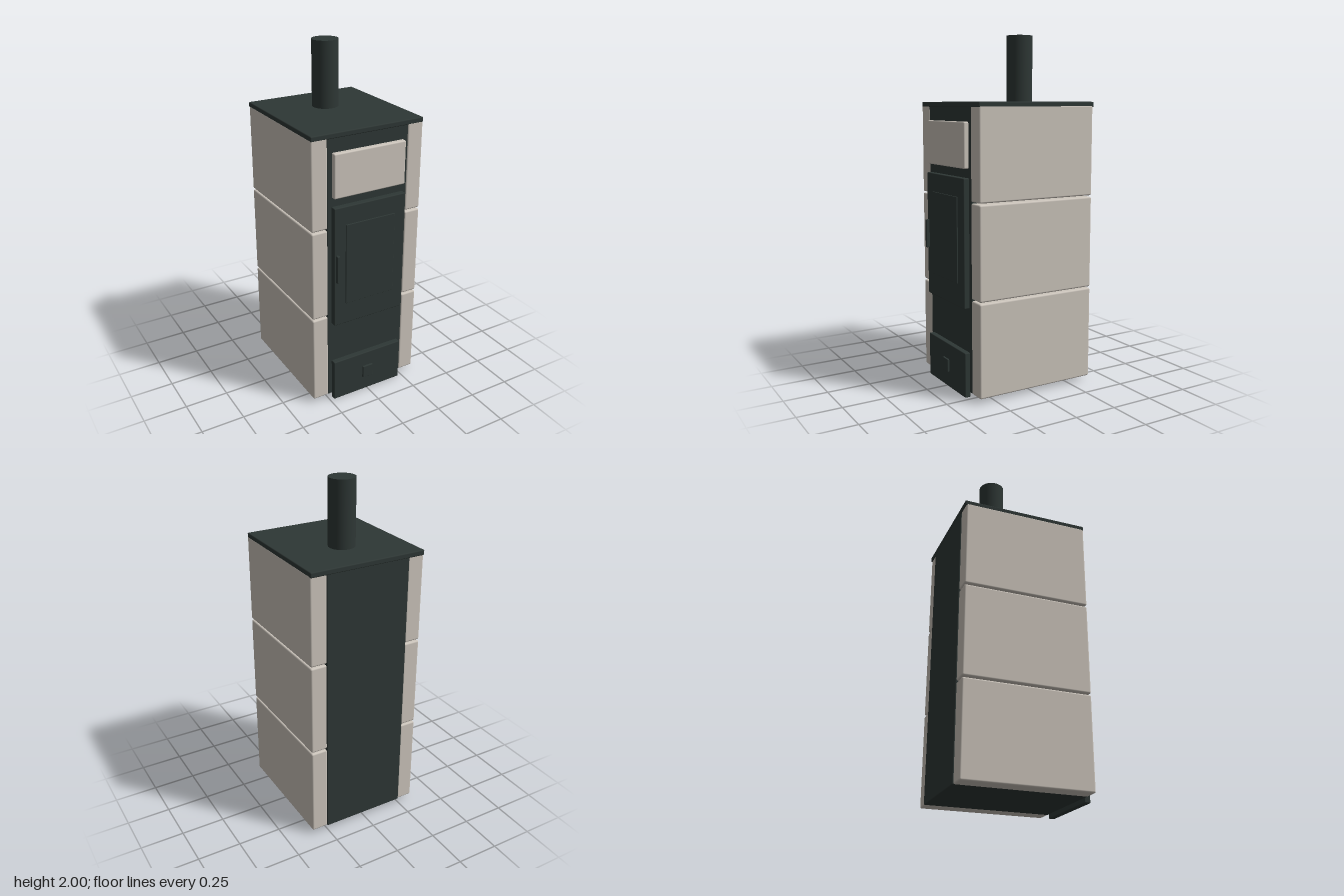
import * as THREE from 'three';
import { RoundedBoxGeometry } from 'three/addons/geometries/RoundedBoxGeometry.js';

export function createModel() {
  const stove = new THREE.Group();
  stove.name = 'stove';
  const iron = new THREE.MeshStandardMaterial({ name: 'dark iron', color: 0x2e3735 });
  const stone = new THREE.MeshStandardMaterial({ name: 'pale stone', color: 0xccc5bc });

  // Rounded block given by its extents along each axis
  const block = (name, material, [x0, x1], [y0, y1], [z0, z1], radius) => {
    const geometry = new RoundedBoxGeometry(x1 - x0, y1 - y0, z1 - z0, 3, radius);
    const mesh = new THREE.Mesh(geometry, material);
    mesh.position.set((x0 + x1) / 2, (y0 + y1) / 2, (z0 + z1) / 2);
    mesh.name = name;
    stove.add(mesh);
  };

  // Firebox and top plate
  block('firebox', iron, [-0.25, 0.25], [0.026, 1.61], [-0.393, 0.342], 0.004);
  block('topPlate', iron, [-0.3445, 0.3445], [1.595, 1.625], [-0.395, 0.345], 0.006);

  // Three stone slabs on each side
  const courses = [[0.025, 0.555], [0.563, 1.088], [1.096, 1.606]];
  for (const course of courses) {
    block('leftSlab', stone, [0.248, 0.3455], course, [-0.388, 0.3445], 0.01);
    block('rightSlab', stone, [-0.3455, -0.248], course, [-0.388, 0.3445], 0.01);
  }

  // Stone panel over the door
  block('upperPanel', stone, [-0.222, 0.222], [1.27, 1.52], [0.336, 0.37], 0.008);

  // Door with raised window and handle
  block('door', iron, [-0.225, 0.225], [0.505, 1.22], [0.338, 0.375], 0.005);
  block('doorWindow', iron, [-0.155, 0.155], [0.635, 1.115], [0.365, 0.382], 0.002);
  block('doorHandle', iron, [-0.217, -0.2], [0.78, 0.945], [0.365, 0.395], 0.004);

  // Ash drawer with its pull
  block('ashDrawer', iron, [-0.225, 0.225], [0, 0.255], [0.338, 0.373], 0.005);
  block('drawerPull', iron, [-0.034, 0.032], [0.09, 0.165], [0.36, 0.384], 0.003);

  // Flue pipe
  const flue = new THREE.Mesh(new THREE.CylinderGeometry(0.075, 0.075, 0.38, 48), iron);
  flue.position.set(0, 1.81, -0.115);
  flue.name = 'fluePipe';
  stove.add(flue);

  return stove;
}
